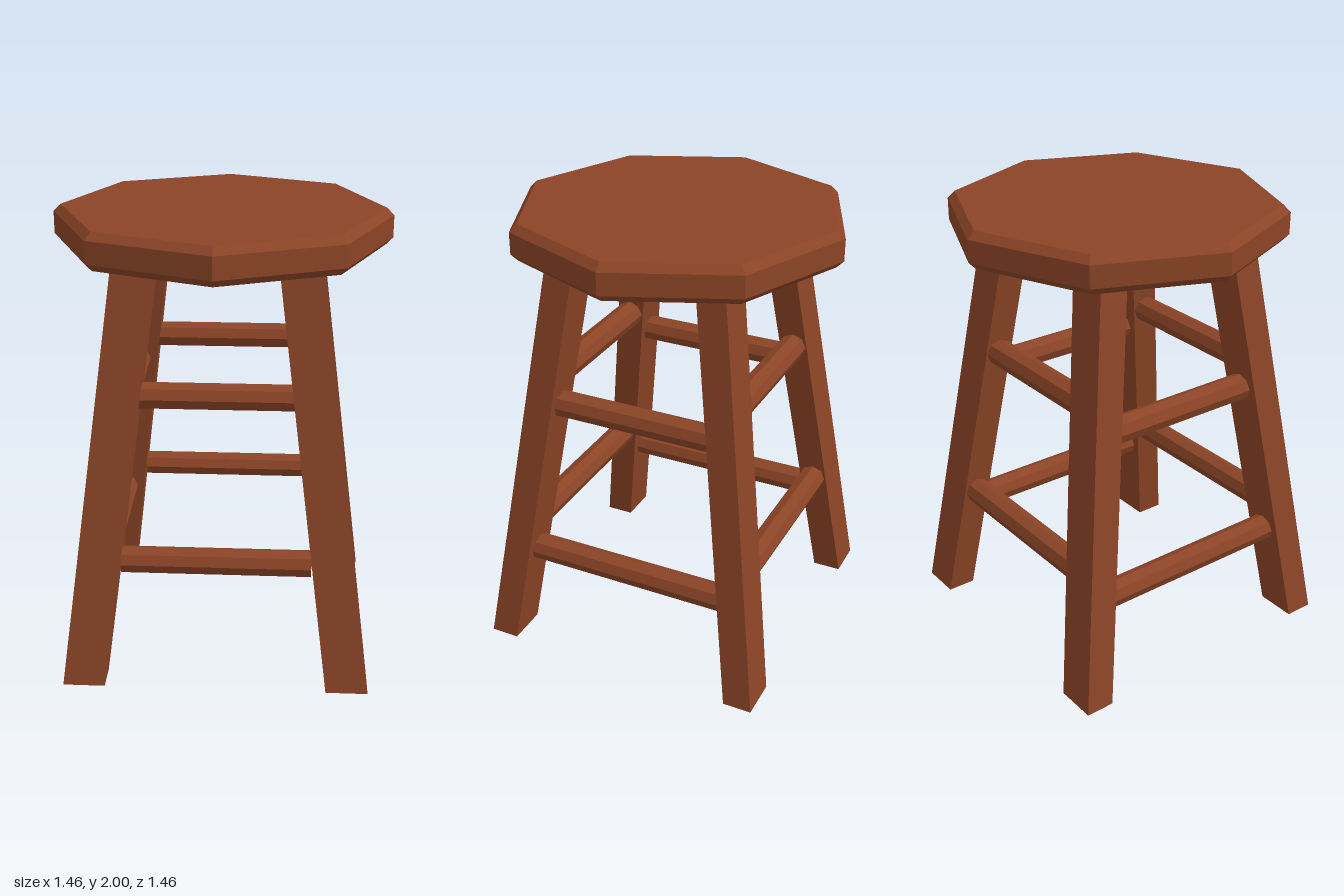
import * as THREE from 'three';

const wood = new THREE.MeshStandardMaterial({ color: 0x8b4426, flatShading: true });

// Leg centre line at height y: the legs splay outward toward the floor
const legX = (y) => 0.578 - 0.128 * y;
const legZ = (y) => 0.595 - 0.139 * y;

function addMesh(parent, name, geometry) {
  const mesh = new THREE.Mesh(geometry, wood);
  mesh.name = name;
  parent.add(mesh);
  return mesh;
}

// Box sheared so both ends stay level
function legGeometry(sx, sz) {
  const height = 1.86;
  const geo = new THREE.BoxGeometry(0.184, height, 0.13).translate(0, height / 2, 0);
  const pos = geo.attributes.position;
  for (let i = 0; i < pos.count; i++) {
    const y = pos.getY(i);
    pos.setX(i, pos.getX(i) + sx * legX(y));
    pos.setZ(i, pos.getZ(i) + sz * legZ(y));
  }
  geo.computeVertexNormals();
  return geo;
}

const rungGeometry = (length) => new THREE.CylinderGeometry(0.06, 0.06, length, 8);

export function createModel() {
  const stool = new THREE.Group();
  stool.name = 'stool';

  // Octagonal seat with chamfered rims
  const profile = [[0, 1.84], [0.7, 1.84], [0.732, 1.872], [0.732, 1.968], [0.7, 2], [0, 2]]
    .map(([r, y]) => new THREE.Vector2(r, y));
  addMesh(stool, 'seat', new THREE.LatheGeometry(profile, 8));

  // Four splayed legs
  for (const sx of [1, -1]) {
    for (const sz of [1, -1]) {
      const name = (sz > 0 ? 'front' : 'back') + (sx > 0 ? 'Left' : 'Right') + 'Leg';
      addMesh(stool, name, legGeometry(sx, sz));
    }
  }

  // Two rungs on each side; front and back rungs sit higher than the side rungs
  for (const s of [1, -1]) {
    for (const [level, y, length] of [['Lower', 0.56, 0.82], ['Upper', 1.285, 0.7]]) {
      const rung = addMesh(stool, (s > 0 ? 'front' : 'back') + level + 'Rung', rungGeometry(length));
      rung.rotation.z = Math.PI / 2;
      rung.position.set(0, y, s * legZ(y));
    }
    for (const [level, y, length] of [['Lower', 0.45, 0.98], ['Upper', 1.175, 0.8]]) {
      const rung = addMesh(stool, (s > 0 ? 'left' : 'right') + level + 'Rung', rungGeometry(length));
      rung.rotation.x = Math.PI / 2;
      rung.position.set(s * legX(y), y, 0);
    }
  }
  return stool;
}
